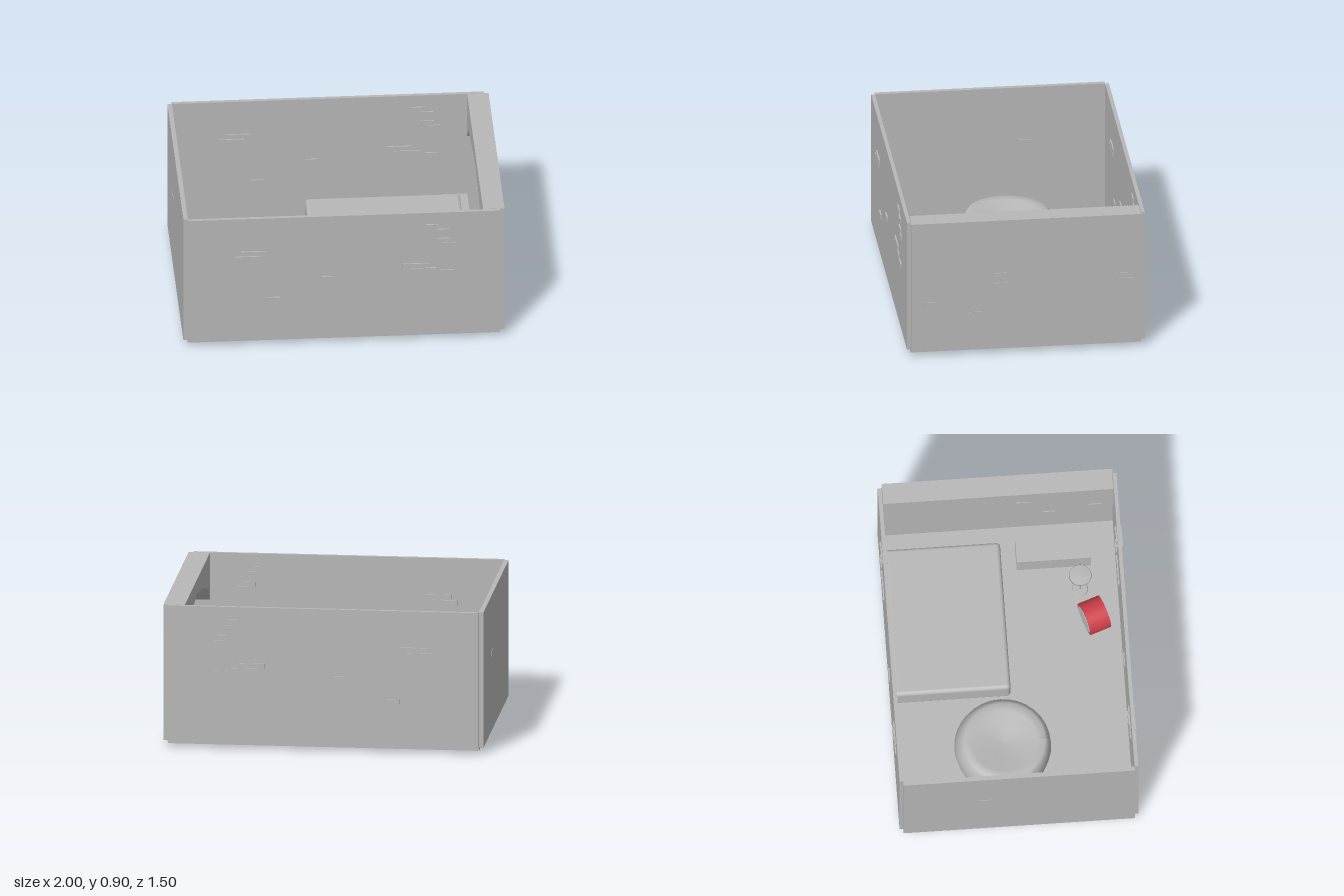
import * as THREE from 'three';
import { RoundedBoxGeometry } from 'three/addons/geometries/RoundedBoxGeometry.js';

const grey = new THREE.MeshStandardMaterial({ color: 0xb8b8b8 });
grey.name = 'grey';
const red = new THREE.MeshStandardMaterial({ color: 0xd0404a });
red.name = 'red';

function add(parent, name, geometry, material = grey) {
  const mesh = new THREE.Mesh(geometry, material);
  mesh.name = name;
  parent.add(mesh);
  return mesh;
}

// Box given by its extents on each axis
function block(parent, name, [x0, x1], [y0, y1], [z0, z1]) {
  const mesh = add(parent, name, new THREE.BoxGeometry(x1 - x0, y1 - y0, z1 - z0));
  mesh.position.set((x0 + x1) / 2, (y0 + y1) / 2, (z0 + z1) / 2);
  return mesh;
}

const lathe = (points, sides) =>
  new THREE.LatheGeometry(points.map(([r, y]) => new THREE.Vector2(r, y)), sides);

export function createModel() {
  const room = new THREE.Group();
  room.name = 'room';

  // Floor and the four walls
  block(room, 'floor', [-0.97, 0.965], [0.02, 0.04], [-0.718, 0.715]);
  block(room, 'frontWall', [-0.97, 0.965], [0.04, 0.9], [0.715, 0.738]);
  block(room, 'backWall', [-0.97, 0.965], [0.04, 0.9], [-0.742, -0.718]);
  block(room, 'leftWall', [0.965, 0.993], [0.04, 0.9], [-0.718, 0.715]);
  block(room, 'rightWall', [-0.998, -0.97], [0.04, 0.9], [-0.718, 0.715]);

  // Raised bricks that poke through both faces of each wall
  const longWallBricks = [
    [-0.604, 0.655], [-0.524, 0.655], [-0.642, 0.62], [-0.562, 0.62],
    [0.545, 0.805], [0.61, 0.77], [0.615, 0.705], [0.65, 0.673],
    [0.4, 0.53], [0.48, 0.53], [0.445, 0.497], [0.525, 0.497],
    [0.635, 0.478], [-0.105, 0.46], [-0.44, 0.325],
  ];
  const bricks = new THREE.Group();
  bricks.name = 'bricks';
  room.add(bricks);
  for (const [x, y] of longWallBricks) {
    for (const z of [0.727, -0.73]) {
      block(bricks, 'brick', [x - 0.04, x + 0.04], [y - 0.015, y + 0.015], [z - 0.02, z + 0.02]);
    }
  }
  const endWallBricks = [
    [0.979, 0.53, 0.16], [0.979, 0.462, 0.16], [0.979, 0.354, 0.6], [0.979, 0.274, 0.316],
    [0.979, 0.492, -0.594], [0.979, 0.456, -0.638], [-0.982, 0.53, -0.22],
  ];
  for (const [x, y, z] of endWallBricks) {
    block(bricks, 'brick', [x - 0.019, x + 0.019], [y - 0.015, y + 0.015], [z - 0.041, z + 0.041]);
  }

  // Overhanging arch along the top of the left wall
  const arch = new THREE.Shape();
  [
    [-0.715, 0.9], [-0.715, 0.6], [-0.63, 0.69], [-0.32, 0.765], [0, 0.81],
    [0.32, 0.765], [0.63, 0.69], [0.712, 0.6], [0.712, 0.9],
  ].forEach(([z, y], i) => (i ? arch.lineTo(-z, y) : arch.moveTo(-z, y)));
  const archMesh = add(room, 'wallArch',
    new THREE.ExtrudeGeometry(arch, { depth: 0.105, bevelEnabled: false }));
  archMesh.rotation.y = Math.PI / 2;
  archMesh.position.x = 0.86;

  // Bed: soft mattress with a box at its head
  const bed = new THREE.Group();
  bed.name = 'bed';
  room.add(bed);
  const mattress = add(bed, 'mattress', new RoundedBoxGeometry(0.965, 0.16, 0.72, 3, 0.025));
  mattress.position.set(0.335, 0.12, -0.355);
  block(bed, 'bedHead', [0.69, 0.86], [0.04, 0.19], [-0.717, -0.003]);

  // Low bench beside the bed
  block(room, 'bench', [0.68, 0.82], [0.04, 0.18], [0.1, 0.56]);

  // Beanbag sunk a little into the floor, with a dished seat
  const beanbagGeometry = lathe([
    [0, 0], [0.15, 0.004], [0.265, 0.02], [0.292, 0.07], [0.3, 0.13], [0.292, 0.19],
    [0.275, 0.24], [0.25, 0.265], [0.2, 0.262], [0.1, 0.24], [0, 0.232],
  ], 32);
  // Lean the upper half towards the front right
  const p = beanbagGeometry.attributes.position;
  for (let i = 0; i < p.count; i++) {
    const lean = Math.max(0, p.getY(i) - 0.15);
    p.setX(i, p.getX(i) - lean * 0.15);
    p.setZ(i, p.getZ(i) + lean * 0.1);
  }
  beanbagGeometry.computeVertexNormals();
  add(room, 'beanbag', beanbagGeometry).position.set(-0.5, 0, -0.07);

  // Small round table on a thin stem
  const table = new THREE.Group();
  table.name = 'roundTable';
  table.position.set(0.53, 0.04, 0.483);
  room.add(table);
  add(table, 'tableTop', lathe([[0, 0.232], [0.05, 0.236], [0.07, 0.246], [0.066, 0.25], [0, 0.253]], 32));
  add(table, 'tableStem', new THREE.CylinderGeometry(0.005, 0.005, 0.235, 10)).position.y = 0.1175;
  add(table, 'tableFoot', new THREE.CylinderGeometry(0.045, 0.05, 0.01, 24)).position.y = 0.005;

  // Red drum lying on its side with grey end discs
  const drum = new THREE.Group();
  drum.name = 'drum';
  drum.rotation.set(Math.PI / 2, 0, -0.34);
  drum.position.set(0.313, 0.145, 0.556);
  room.add(drum);
  add(drum, 'drumSide', new THREE.CylinderGeometry(0.105, 0.105, 0.136, 32), red);
  add(drum, 'drumEnds', new THREE.CylinderGeometry(0.088, 0.088, 0.142, 32));

  return room;
}
